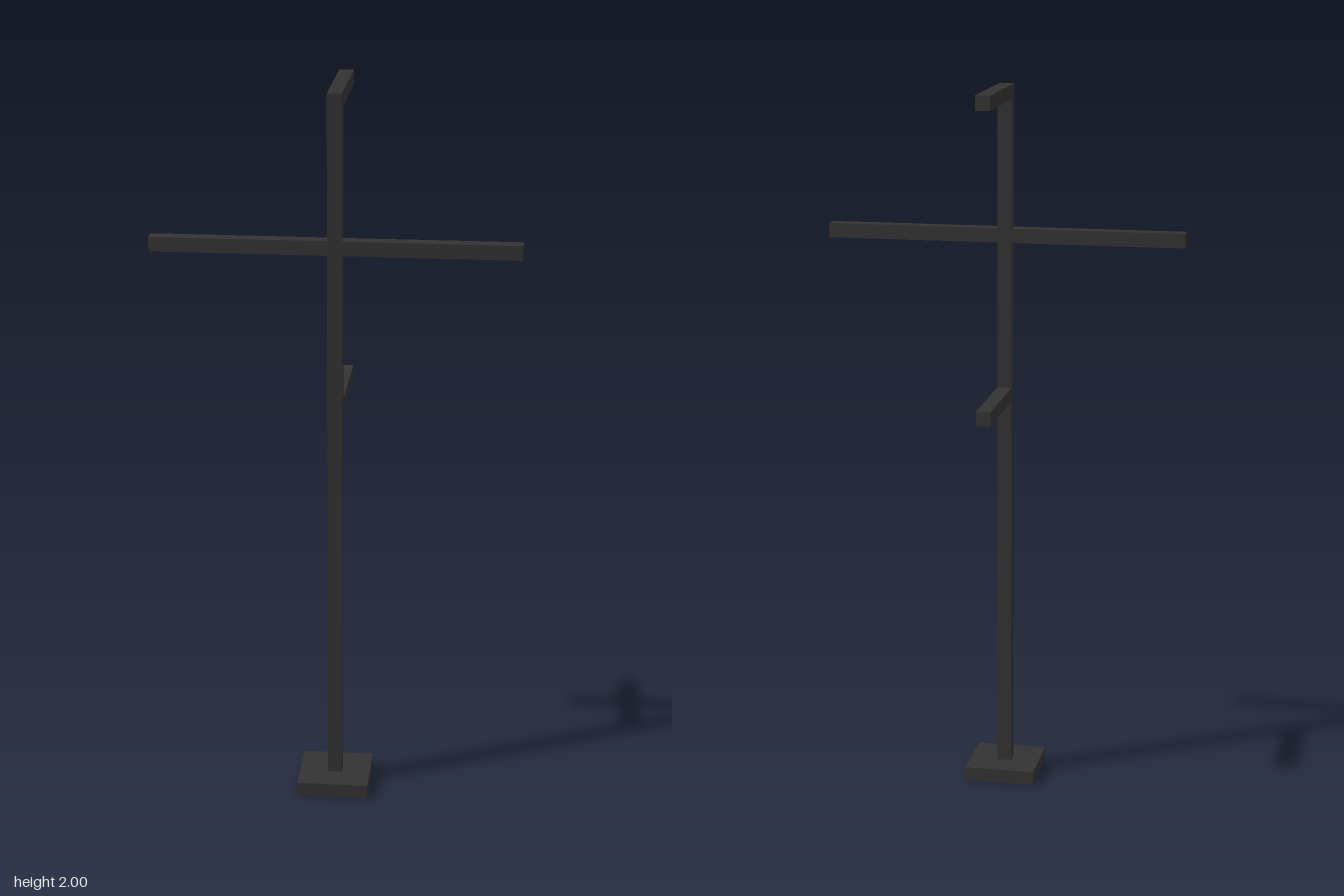
import * as THREE from 'three';

export function createModel() {
  const model = new THREE.Group();
  const darkGrey = new THREE.MeshStandardMaterial({ color: 0x333333 });
  darkGrey.name = 'darkGrey';

  const BAR = 0.04; // square bar thickness
  const POST_Z = 0.11;

  // Box placed by its centre
  function addBox(name, [w, h, d], [x, y, z]) {
    const mesh = new THREE.Mesh(new THREE.BoxGeometry(w, h, d), darkGrey);
    mesh.name = name;
    mesh.position.set(x, y, z);
    model.add(mesh);
  }

  // Foot plate and upright
  addBox('base', [0.2, BAR, 0.2], [0, 0.02, POST_Z]);
  addBox('post', [BAR, 1.96, BAR], [0, 1.02, POST_Z]);

  // Crossbar halves butting against the post
  for (const [name, side] of [['leftCrossbar', 1], ['rightCrossbar', -1]]) {
    addBox(name, [0.48, BAR, BAR], [side * 0.26, 1.585, POST_Z]);
  }

  // Arms reaching backwards from the post
  for (const [name, y] of [['upperArm', 1.98], ['lowerArm', 1.135]]) {
    addBox(name, [BAR, BAR, 0.3], [0, y, -0.06]);
  }

  return model;
}
